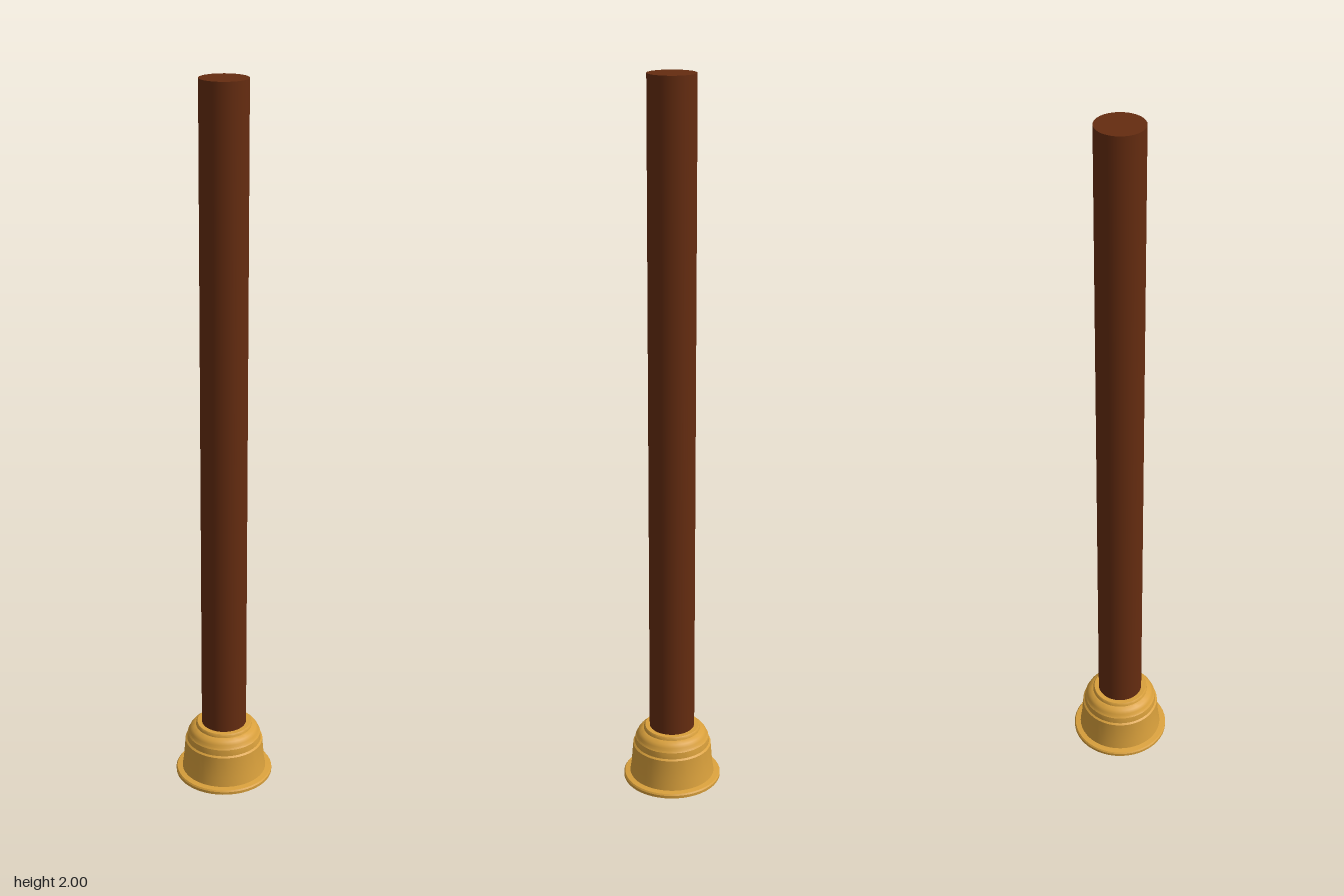
import * as THREE from 'three';
import { toCreasedNormals } from 'three/addons/utils/BufferGeometryUtils.js';

const SEGMENTS = 48;

export function createModel() {
  const group = new THREE.Group();
  group.name = 'postWithSocket';

  // Round wooden post rising out of the base
  const post = new THREE.Mesh(
    new THREE.CylinderGeometry(0.064, 0.064, 1.99, SEGMENTS),
    new THREE.MeshStandardMaterial({ color: 0x652c10 })
  );
  post.name = 'post';
  post.position.y = 1.005;
  group.add(post);

  // Turned metal base: flange, tapered cup, bead, rounded shoulder and collar
  const profile = [
    [0, 0], [0.139, 0], [0.139, 0.008], [0.136, 0.012], [0.121, 0.014],
    [0.117, 0.04], [0.112, 0.1], [0.112, 0.104], [0.107, 0.108],
    [0.105, 0.126], [0.101, 0.13], [0.099, 0.138], [0.093, 0.146],
    [0.084, 0.151], [0.081, 0.152], [0.08, 0.158], [0.077, 0.162], [0.06, 0.162],
  ].map(([r, y]) => new THREE.Vector2(r, y));
  const base = new THREE.Mesh(
    toCreasedNormals(new THREE.LatheGeometry(profile, SEGMENTS), 0.6),
    new THREE.MeshStandardMaterial({ color: 0xd9a03c })
  );
  base.name = 'base';
  group.add(base);

  return group;
}
